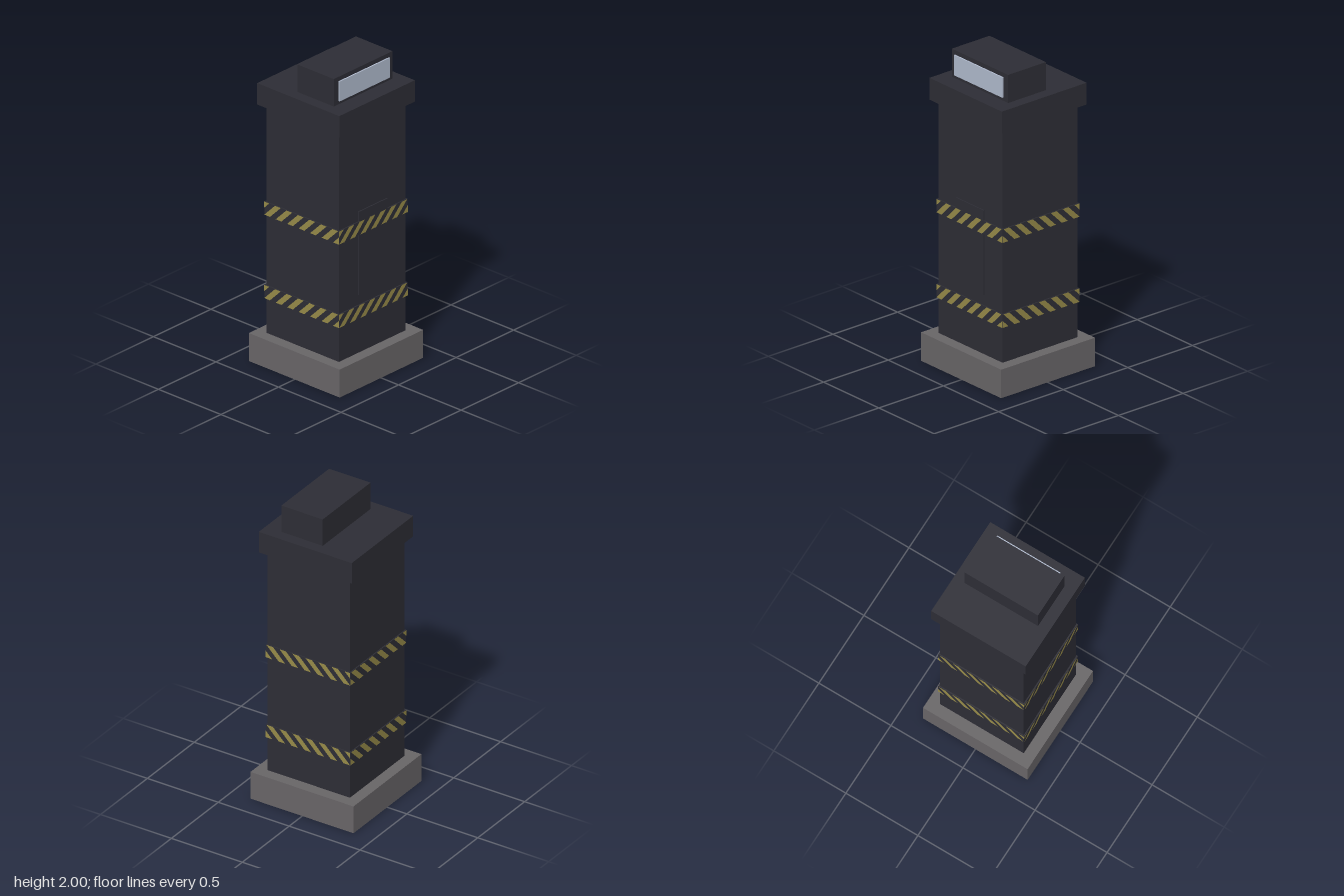
import * as THREE from 'three';

export function createModel() {
  const model = new THREE.Group();
  const mat = (name, color) => new THREE.MeshStandardMaterial({ name, color });
  const dark = mat('dark metal', 0x2d2d35);
  const grey = mat('concrete grey', 0x686567);
  const yellow = mat('warning yellow', 0x968a48);
  const glass = mat('pale glass', 0xb0bacd);

  // Box given by its limits on each axis
  function box(name, material, [x0, x1], [y0, y1], [z0, z1], parent = model) {
    const mesh = new THREE.Mesh(new THREE.BoxGeometry(x1 - x0, y1 - y0, z1 - z0), material);
    mesh.position.set((x0 + x1) / 2, (y0 + y1) / 2, (z0 + z1) / 2);
    mesh.name = name;
    parent.add(mesh);
    return mesh;
  }
  const square = (name, material, r, y) => box(name, material, [-r, r], y, [-r, r]);

  // Plinth, column and cap
  square('plinth', grey, 0.363, [0.002, 0.185]);
  square('column', dark, 0.29, [0, 1.7]);
  square('cap', dark, 0.328, [1.68, 1.82]);

  // Lamp head with its window, and the access door
  box('lampHead', dark, [-0.255, 0.255], [1.82, 2], [-0.075, 0.217]);
  box('lampWindow', glass, [-0.219, 0.219], [1.845, 1.975], [0.222, 0.231]);
  box('accessDoor', dark, [-0.125, 0.125], [0.565, 1.11], [0.28, 0.297]);

  // Keep the part of a polygon on one side of a vertical line
  function clip(points, limit, sign) {
    const out = [];
    points.forEach((a, i) => {
      const b = points[(i + 1) % points.length];
      const da = sign * (limit - a.x), db = sign * (limit - b.x);
      if (da >= 0) out.push(a);
      if (da * db < 0) out.push(a.clone().lerp(b, da / (da - db)));
    });
    return out;
  }

  // Slanted stripes for one face of a band
  const half = 0.298, height = 0.086, period = half * 2 / 6.5;
  function stripeShapes(slope) {
    const shapes = [];
    for (let i = -2; i < 8; i++) {
      const x = -half + i * period, w = period / 2;
      let p = [[x, 0], [x + w, 0], [x + w + height, height], [x, height]];
      p[3][0] += height;
      p = p.map(([px, py]) => new THREE.Vector2(px * slope, py - height / 2));
      p = clip(clip(p, half, 1), -half, -1);
      if (p.length > 2) shapes.push(new THREE.Shape(p));
    }
    return shapes;
  }

  // Two warning bands, striped on all four faces
  for (const y of [0.456, 1.002]) {
    const band = new THREE.Group();
    band.name = 'warningBand';
    band.position.y = y;
    model.add(band);
    box('bandCore', dark, [-half, half], [-height / 2, height / 2], [-half, half], band);
    [1, -1, -1, 1].forEach((slope, side) => {
      const geometry = new THREE.ShapeGeometry(stripeShapes(slope));
      geometry.translate(0, 0, half + 0.002);
      const stripes = new THREE.Mesh(geometry, yellow);
      stripes.name = 'bandStripes';
      stripes.rotation.y = side * Math.PI / 2;
      band.add(stripes);
    });
  }
  return model;
}
